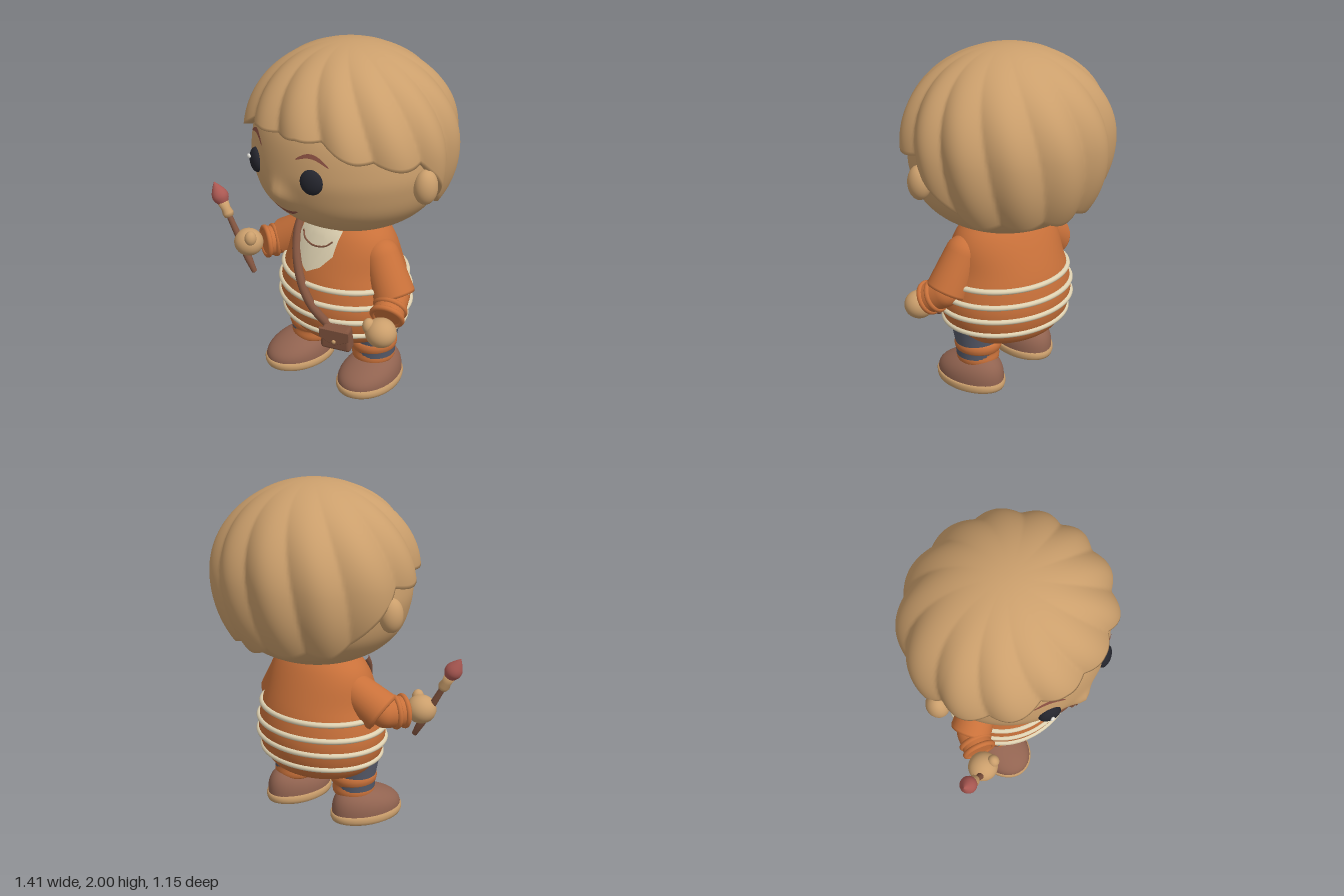
import * as THREE from 'three';
import { mergeVertices } from 'three/addons/utils/BufferGeometryUtils.js';
import { ParametricGeometry } from 'three/addons/geometries/ParametricGeometry.js';
import { RoundedBoxGeometry } from 'three/addons/geometries/RoundedBoxGeometry.js';

const V = (x, y, z) => new THREE.Vector3(x, y, z);
const CX = 0.06; // middle of head and body
const { smoothstep, lerp } = THREE.MathUtils;

const mat = (name, color, side = THREE.FrontSide) => {
  const m = new THREE.MeshStandardMaterial({ color, side });
  m.name = name;
  return m;
};

// Linear lookup in a list of [key, value] pairs
function lookup(pairs, k) {
  for (let i = 1; i < pairs.length; i++) {
    const [a, va] = pairs[i - 1], [b, vb] = pairs[i];
    if (k <= b) return lerp(va, vb, Math.max(0, (k - a) / (b - a)));
  }
  return pairs[pairs.length - 1][1];
}

// Smooth profile through [radius, y] points
const profile = (pts, n = 48) => new THREE.SplineCurve(pts.map(p => new THREE.Vector2(...p)))
  .getPoints(n).map(p => new THREE.Vector2(Math.max(0, p.x), p.y));
const lathe = (pts, seg = 32) => new THREE.LatheGeometry(pts.map(p => new THREE.Vector2(p[0] ?? p.x, p[1] ?? p.y)), seg, Math.PI);

// Move every vertex by a rule and weld for smooth normals
function reshape(geo, rule) {
  const p = geo.attributes.position, v = V(0, 0, 0);
  for (let i = 0; i < p.count; i++) {
    v.fromBufferAttribute(p, i);
    rule(v);
    p.setXYZ(i, v.x, v.y, v.z);
  }
  geo.deleteAttribute('uv');
  geo.deleteAttribute('normal');
  const out = mergeVertices(geo, 1e-5);
  out.computeVertexNormals();
  return out;
}

export function createModel() {
  const root = new THREE.Group();
  const skin = mat('skin and hair tan', 0xcb9f6c), orange = mat('sweater orange', 0xc9713a);
  const cream = mat('cream', 0xdfd2b2, THREE.DoubleSide), shoeBrown = mat('shoe brown', 0x916350);
  const leather = mat('leather brown', 0x82543f), red = mat('bristle red', 0xaa5852);
  const dark = mat('eye black', 0x24252d), white = mat('eye glint white', 0xf4f2ec);
  const denim = mat('denim', 0x565a69), brow = mat('brow brown', 0x8e5243, THREE.DoubleSide);

  const add = (name, geo, material, pos = V(0, 0, 0), parent = root) => {
    const m = new THREE.Mesh(geo, material);
    m.name = name;
    m.position.copy(pos);
    parent.add(m);
    return m;
  };
  const ball = (name, material, pos, sx, sy, sz, parent) => {
    const m = add(name, new THREE.SphereGeometry(1, 28, 20), material, pos, parent);
    m.scale.set(sx, sy, sz);
    return m;
  };
  const aim = (obj, a, b) => {
    obj.position.copy(a);
    obj.quaternion.setFromUnitVectors(V(0, 1, 0), b.clone().sub(a).normalize());
    return obj;
  };
  // Thin sheet laid on a curved front, between two edges given as functions of 0..1
  const patch = (name, material, x0, x1, low, high, surf, lift) => add(name,
    new ParametricGeometry((u, v, t) => {
      const x = lerp(x0, x1, u), y = lerp(low(u), high(u), v);
      t.set(x, y, surf(x, y) + lift);
    }, 24, 10), material);

  // Head with a soft nose
  const headPts = profile([[0, 0.98], [0.15, 0.985], [0.27, 1.01], [0.4, 1.08], [0.495, 1.18], [0.54, 1.3],
    [0.553, 1.42], [0.52, 1.6], [0.42, 1.75], [0.25, 1.87], [0, 1.92]], 64);
  const headTable = headPts.map(p => [p.y, p.x]);
  const nose = (x, y) => 0.045 * Math.exp(-((x - CX) ** 2 + (y - 1.275) ** 2) / 0.0045);
  const headZ = (x, y) => 0.01 + 0.97 * Math.sqrt(Math.max(0, lookup(headTable, y) ** 2 - (x - CX) ** 2)) + nose(x, y);
  add('head', reshape(lathe(headPts, 96), v => {
    v.x += CX;
    v.z = v.z * 0.97 + 0.01 + (v.z > 0 ? nose(v.x, v.y) : 0);
  }), skin);

  // Fluted bowl of hair, with a hem that runs low behind the ears
  const hem = [[0, 1.595], [0.25, 1.625], [0.5, 1.595], [0.79, 1.53], [1, 1.495], [1.45, 1.46], [1.62, 1.39],
    [1.75, 1.31], [1.93, 1.18], [2.13, 1.13], [3.15, 1.11]];
  add('hair', reshape(new ParametricGeometry((u, v, t) => {
    const a = -u * Math.PI * 2, w = Math.min(1, v / 0.92);
    const side = Math.min(u, 1 - u) * Math.PI * 2;
    const flute = s => Math.abs(Math.sin(6.5 * (a + 0.4 * (1 - s))));
    const d = lookup(hem, side) - 0.03 * (flute(1) - 0.6) - 1.48;
    const phi = w * Math.acos(d / (d > 0 ? 0.52 : 0.62));
    const c = Math.cos(phi);
    const lip = 1 - 0.14 * Math.max(0, (v - 0.92) / 0.08);
    const r = Math.sin(phi) * (1 + 0.065 * (flute(w) - 0.6) * smoothstep(w, 0, 0.6)) * lip;
    t.set(CX + 0.595 * r * Math.sin(a), 1.48 + c * (c > 0 ? 0.52 : 0.62), 0.565 * r * Math.cos(a));
  }, 208, 50), () => {}), skin);

  // Ears, eyes, brows and mouth
  for (const s of [-1, 1]) {
    ball('ear', skin, V(CX + s * 0.575, 1.34, 0.03), 0.062, 0.096, 0.068);
    const ex = CX + s * 0.217, ez = headZ(ex, 1.395);
    const eye = ball('eye', dark, V(ex, 1.395, ez - 0.005), 0.064, 0.069, 0.036);
    eye.rotation.y = s * 0.4;
    ball('eyeGlint', white, V(ex - 0.018, 1.42, ez + 0.027 - s * 0.006), 0.013, 0.013, 0.008);
    const arch = u => 1.505 + 0.04 * Math.sin(Math.PI * u) + (s < 0 ? 0.025 * (1 - u) : -0.02 * u);
    patch('eyebrow', brow, s < 0 ? -0.24 : 0.19, s < 0 ? -0.07 : 0.365, u => arch(u) - 0.013 * Math.sin(Math.PI * u) ** 0.5,
      u => arch(u) + 0.011 * Math.sin(Math.PI * u) ** 0.5, headZ, 0.009);
  }
  patch('mouth', brow, -0.045, 0.165, u => 1.19 - 0.047 * Math.sin(Math.PI * u),
    u => 1.19 - 0.018 * Math.sin(Math.PI * u), headZ, 0.005);

  // Sweater body, wider at the shoulders
  const bodyPts = profile([[0, 0.32], [0.15, 0.31], [0.235, 0.305], [0.29, 0.34], [0.33, 0.42], [0.347, 0.52],
    [0.34, 0.61], [0.315, 0.72], [0.265, 0.85], [0.215, 0.95], [0.17, 1.01]]);
  const bodyTable = bodyPts.map(p => [p.y, p.x]).slice(12);
  const wide = y => 1.17 + 0.25 * smoothstep(y, 0.72, 0.98);
  const bodyZ = (x, y) => 0.04 + Math.sqrt(Math.max(0, lookup(bodyTable, y) ** 2 - ((x - 0.05) / wide(y)) ** 2));
  add('sweater', reshape(lathe(bodyPts, 64), v => { v.x = 0.05 + v.x * wide(v.y); v.z += 0.04; }), orange);
  for (const y of [0.405, 0.5, 0.588, 0.678]) {
    const r = lookup(bodyTable, y);
    add('sweaterStripe', reshape(new THREE.TorusGeometry(r, 0.016, 10, 72).rotateX(Math.PI / 2),
      v => { v.x *= 1.17; }), cream, V(0.05, y, 0.04));
  }

  // Shirt in the V neck, and a thin necklace
  const vee = [[0, 0.87], [0.2, 0.825], [0.35, 0.77], [0.5, 0.745], [0.8, 0.79], [1, 0.86]];
  patch('shirt', cream, -0.08, 0.2, u => lookup(vee, u), () => 0.99, bodyZ, 0.008);
  const onBody = (pts, lift) => new THREE.CatmullRomCurve3(pts.map(([x, y]) => V(x, y, bodyZ(x, y) + lift)));
  add('necklace', new THREE.TubeGeometry(onBody([[-0.055, 0.935], [-0.02, 0.905], [0.06, 0.89], [0.14, 0.905], [0.175, 0.935]],
    0.012), 30, 0.005, 6), leather);

  // Shoulder strap and satchel
  add('strap', new THREE.TubeGeometry(onBody([[-0.13, 0.97], [-0.11, 0.92], [-0.04, 0.8], [0.06, 0.67], [0.15, 0.57], [0.25, 0.47]],
    0.014), 40, 0.026, 10), leather);
  const bag = new THREE.Group();
  bag.name = 'satchel';
  bag.position.set(0.3, 0.425, 0.345);
  bag.rotation.set(0.12, 0.42, -0.06);
  root.add(bag);
  add('bagBody', reshape(new RoundedBoxGeometry(0.17, 0.14, 0.08, 3, 0.02), v => { v.x *= 1 - v.y * 0.8; }), leather, V(0, 0, 0), bag);
  const flap = new THREE.Shape([[-0.085, 0.07], [-0.085, 0.015], [0, -0.025], [0.085, 0.015], [0.085, 0.07]]
    .map(p => new THREE.Vector2(...p)));
  add('bagFlap', new THREE.ExtrudeGeometry(flap, { depth: 0.012, bevelSize: 0.003, bevelThickness: 0.003, bevelSegments: 2 }),
    leather, V(0, 0, 0.034), bag);
  ball('bagButton', skin, V(0, 0, 0.052), 0.012, 0.012, 0.008, bag);

  // Sleeves: a round shoulder end and a blunt open end
  const sleeve = (name, a, b, ra, rb) => {
    const L = a.distanceTo(b), pts = [];
    for (let i = 0; i <= 8; i++) {
      const q = i / 8 * Math.PI / 2;
      pts.push([ra * Math.sin(q), -ra * Math.cos(q)]);
    }
    pts.push([rb, L - 0.015], [rb * 0.96, L], [rb * 0.8, L + 0.002], [0, L]);
    aim(add(name, lathe(pts), orange), a, b);
  };
  const arm = (shoulder, elbow, wrist, hand, thumb) => {
    sleeve('upperSleeve', shoulder, elbow, 0.105, 0.122);
    sleeve('foreSleeve', elbow.clone().lerp(wrist, 0.1), wrist, 0.085, 0.09);
    for (const t of [0.55, 0.95]) {
      const roll = new THREE.Group();
      roll.name = 'sleeveCuff';
      add('cuffRoll', new THREE.TorusGeometry(0.085, 0.016, 10, 32).rotateX(Math.PI / 2), orange, V(0, 0, 0), roll);
      root.add(aim(roll, elbow.clone().lerp(wrist, t), wrist.clone().multiplyScalar(2).sub(elbow)));
    }
    ball('hand', skin, hand, 0.088, 0.082, 0.086);
    ball('thumb', skin, thumb, 0.034, 0.045, 0.036);
  };
  arm(V(0.345, 0.84, 0.05), V(0.46, 0.63, 0.06), V(0.51, 0.565, 0.17), V(0.53, 0.505, 0.235), V(0.48, 0.545, 0.28));
  arm(V(-0.22, 0.83, 0.05), V(-0.38, 0.715, 0.12), V(-0.43, 0.715, 0.24), V(-0.485, 0.72, 0.32), V(-0.43, 0.77, 0.35));

  // Paintbrush held in the right hand
  const brush = new THREE.Group();
  brush.name = 'paintbrush';
  root.add(aim(brush, V(-0.425, 0.54, 0.33), V(-0.702, 1.06, 0.39)));
  add('brushHandle', lathe([[0, 0], [0.016, 0.008], [0.024, 0.1], [0.02, 0.25], [0.017, 0.38]], 16), leather, undefined, brush);
  add('brushFerrule', lathe([[0, 0.365], [0.026, 0.368], [0.034, 0.39], [0.028, 0.42], [0.034, 0.465], [0, 0.47]], 16), skin, undefined, brush);
  add('brushBristles', lathe(profile([[0.03, 0.455], [0.048, 0.49], [0.045, 0.525], [0.022, 0.565], [0, 0.595]], 16), 20), red, undefined, brush);

  // Legs with rolled cuffs, shoes and soles; the right foot is a step ahead
  for (const [side, lx, fx, lz, fz] of [[-1, -0.165, -0.195, 0.11, 0.175], [1, 0.28, 0.29, 0.025, 0.065]]) {
    add('trouserLeg', lathe([[0.12, 0.2], [0.125, 0.28], [0.14, 0.36], [0.15, 0.44]]), denim, V(lx, 0, lz));
    const cuff = add('legCuff', lathe(profile([[0, 0.15], [0.105, 0.155], [0.125, 0.18], [0.122, 0.222], [0.132, 0.235],
      [0.139, 0.262], [0.132, 0.288], [0.11, 0.29]], 30)), orange, V(lx, 0, lz));
    cuff.rotation.z = side * 0.04;
    const foot = new THREE.Group();
    foot.name = 'foot';
    foot.position.set(fx, 0, fz);
    foot.rotation.y = side * 0.1;
    root.add(foot);
    const toe = z => 1 + 0.35 * z; // wider toward the toes
    const shoe = reshape(new THREE.SphereGeometry(1, 36, 24, 0, Math.PI * 2, 0, Math.PI / 2), v => {
      const k = Math.max(0, v.y) ** 0.75;
      v.set(v.x * 0.158 * toe(v.z * 0.22), 0.045 + k * 0.15 * (1 - 0.32 * v.z), v.z * 0.228);
    });
    add('shoe', shoe, shoeBrown, undefined, foot);
    add('sole', reshape(lathe([[0, 0], [0.9, 0], [0.97, 0.008], [1, 0.025], [1, 0.045], [0.96, 0.056], [0, 0.058]], 40), v => {
      v.x *= 0.166 * toe(v.z * 0.22);
      v.z *= 0.236;
    }), skin, undefined, foot);
  }
  return root;
}
